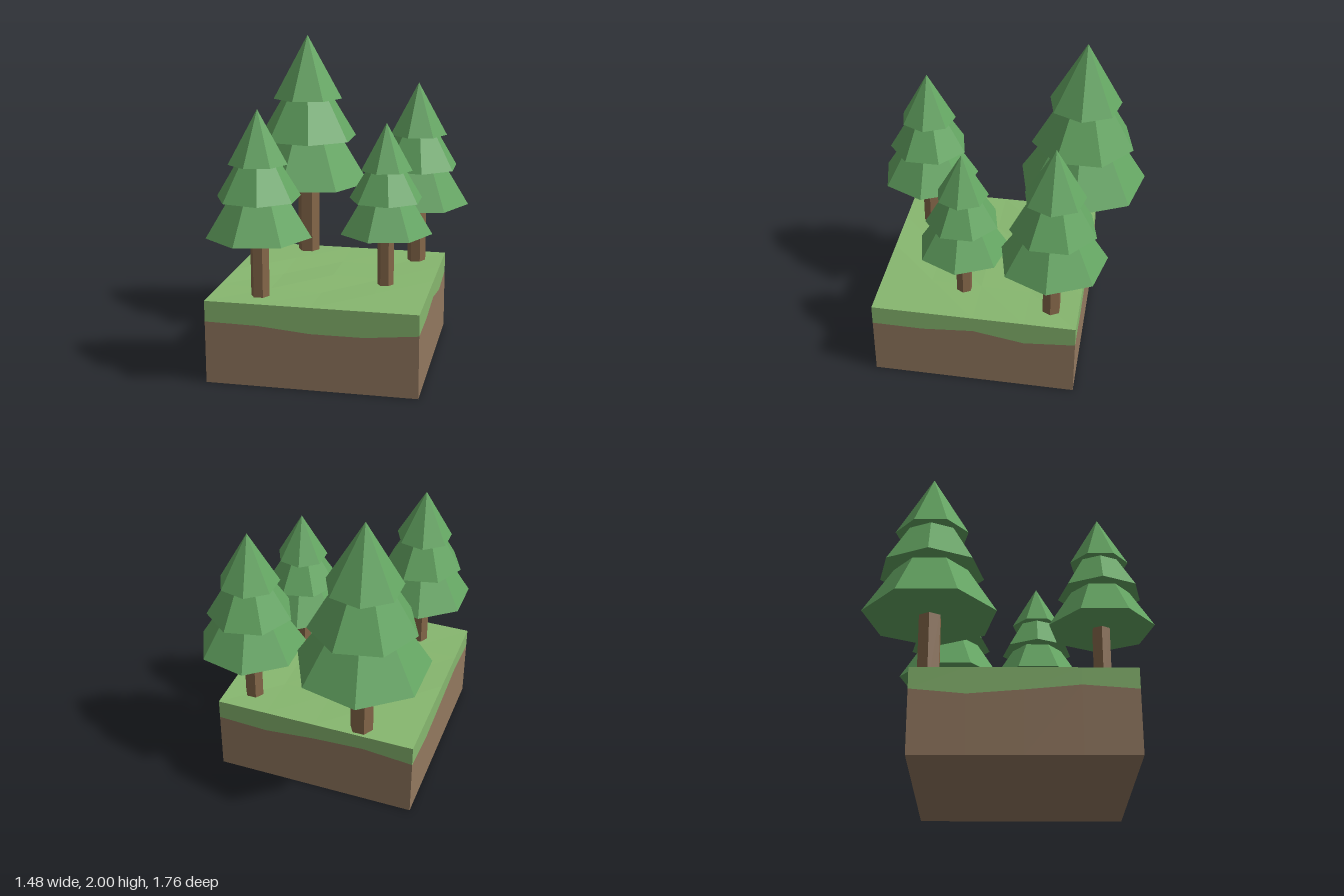
import * as THREE from 'three';

const mat = (color, extra = {}) => {
  const m = new THREE.MeshStandardMaterial({ color, flatShading: true, ...extra });
  return m;
};
const foliageMat = mat(0x64a562);
const barkMat = mat(0x86684a);
const grassMat = mat(0x87b76f);
const soilMat = mat(0x92785f);

const X0 = -0.725, Z0 = -0.555, SIZE = 1.3, TOP = 0.52;

// Height of the wavy grass/soil line, in quarters around the block:
// front, +x side, back, -x side
const seam = [
  0.39, 0.385, 0.357, 0.357,
  0.39, 0.387, 0.415, 0.36,
  0.39, 0.375, 0.405, 0.42,
  0.39, 0.36, 0.385, 0.415,
];

function named(name, geometry, material) {
  const mesh = new THREE.Mesh(geometry, material);
  mesh.name = name;
  return mesh;
}

// Point on the block's outline, counter-clockwise from the front -x corner
function outline(i) {
  const t = (i % 4) / 4;
  const corners = [[0, 1], [1, 1], [1, 0], [0, 0]];
  const a = corners[Math.floor(i / 4) % 4], b = corners[(Math.floor(i / 4) + 1) % 4];
  return [X0 + SIZE * (a[0] + (b[0] - a[0]) * t), Z0 + SIZE * (a[1] + (b[1] - a[1]) * t)];
}

// Wall around the block between two height functions
function wall(low, high) {
  const pos = [];
  for (let i = 0; i < 16; i++) {
    const j = (i + 1) % 16;
    const [ax, az] = outline(i), [bx, bz] = outline(j);
    pos.push(ax, low(i), az, bx, low(j), bz, bx, high(j), bz);
    pos.push(ax, low(i), az, bx, high(j), bz, ax, high(i), az);
  }
  const g = new THREE.BufferGeometry();
  g.setAttribute('position', new THREE.Float32BufferAttribute(pos, 3));
  g.computeVertexNormals();
  return g;
}

function ground() {
  const group = new THREE.Group();
  group.name = 'ground';
  const cx = X0 + SIZE / 2, cz = Z0 + SIZE / 2;

  // Lawn with faint hollows away from its edges
  const lawn = new THREE.PlaneGeometry(SIZE, SIZE, 4, 4).rotateX(-Math.PI / 2).translate(cx, TOP, cz);
  const p = lawn.attributes.position;
  for (let r = 1; r < 4; r++) {
    for (let c = 1; c < 4; c++) p.setY(r * 5 + c, TOP - 0.006 * ((r * 2 + c) % 3));
  }
  lawn.computeVertexNormals();
  const base = new THREE.PlaneGeometry(SIZE, SIZE).rotateX(Math.PI / 2).translate(cx, 0, cz);

  group.add(
    named('lawn', lawn, grassMat),
    named('grassEdge', wall((i) => seam[i], () => TOP), grassMat),
    named('soil', wall(() => 0, (i) => seam[i]), soilMat),
    named('soilBase', base, soilMat),
  );
  return group;
}

// Tiers of a full-size tree: radius, height, base above the ground, turn
const tiers = [
  [0.42, 0.68, 0.49, 0],
  [0.335, 0.56, 0.79, Math.PI],
  [0.235, 0.42, 1.06, 0],
];

function tree(name, x, z, scale) {
  const group = new THREE.Group();
  group.name = name;
  const trunk = new THREE.CylinderGeometry(0.075, 0.075, 0.56, 6).rotateY(Math.PI / 2).translate(0, 0.25, 0);
  group.add(named('trunk', trunk, barkMat));
  tiers.forEach(([r, h, y, turn], i) => {
    const cone = new THREE.ConeGeometry(r, h, 7).rotateY(Math.PI / 2 + turn).translate(0, y + h / 2, 0);
    group.add(named(`foliageTier${i + 1}`, cone, foliageMat));
  });
  group.position.set(x, TOP, z);
  group.scale.setScalar(scale);
  return group;
}

export function createModel() {
  const model = new THREE.Group();
  model.name = 'forestBlock';
  model.add(
    ground(),
    tree('tallTree', -0.365, -0.47, 1),
    tree('backLeftTree', 0.4, -0.38, 0.807),
    tree('frontRightTree', -0.425, 0.565, 0.77),
    tree('smallTree', 0.285, 0.2, 0.69),
  );
  return model;
}
